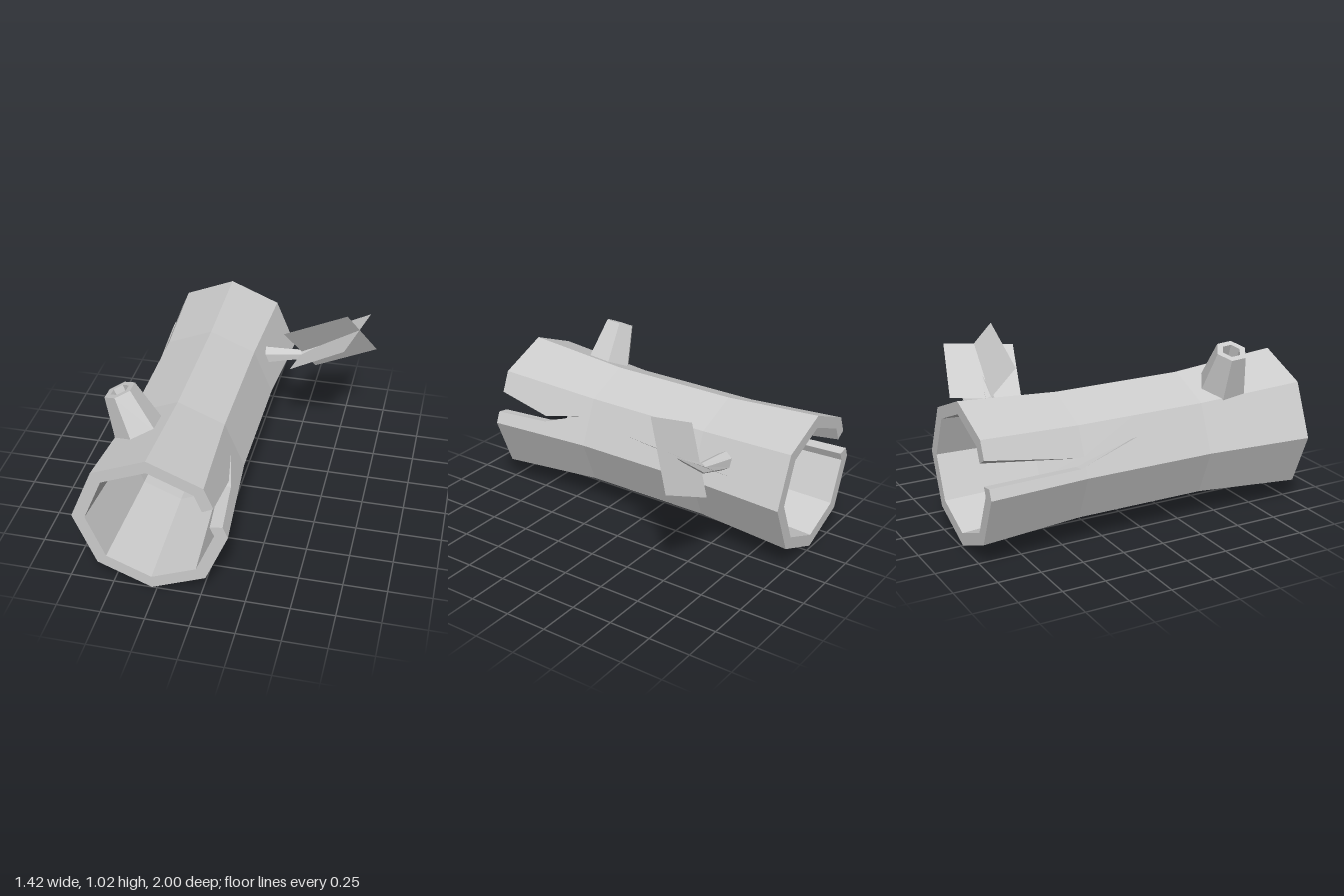
import * as THREE from 'three';

const CX = -0.28, CY = 0.44, SIDES = 8;
const material = new THREE.MeshStandardMaterial({ color: 0xcccccc, flatShading: true });
const leafMaterial = new THREE.MeshStandardMaterial({ color: 0xcccccc, flatShading: true, side: THREE.DoubleSide });

// Piecewise-linear lookup; rows are [z, value...] with falling z
function sample(rows, z, col) {
  if (z >= rows[0][0]) return rows[0][col];
  for (let i = 1; i < rows.length; i++) {
    const a = rows[i - 1], b = rows[i];
    if (z >= b[0]) return a[col] + (b[col] - a[col]) * (a[0] - z) / (a[0] - b[0]);
  }
  return rows[rows.length - 1][col];
}

function meshFromQuads(quads, name, mat = material) {
  const pos = [];
  for (const [a, b, c, d] of quads) for (const p of [a, b, c, a, c, d]) pos.push(...p);
  const g = new THREE.BufferGeometry();
  g.setAttribute('position', new THREE.Float32BufferAttribute(pos, 3));
  g.computeVertexNormals();
  const mesh = new THREE.Mesh(g, mat);
  mesh.name = name;
  return mesh;
}

// Log section: z, outer radius, inner radius
const PROFILE = [[1, 0.435, 0.36], [0.36, 0.38, 0.312], [-0.42, 0.38, 0.312], [-1, 0.418, 0.345]];
// Splits by side: z, first edge, second edge (fractions across the side)
const SPLITS = {
  0: [[1, 0.22, 0.6], [0.66, 0.27, 0.38], [0.43, 0.57, 0.57]],
  3: [[-0.08, 0.41, 0.41], [-0.45, 0.6, 0.8], [-1, 0.34, 0.8]],
};

function createLog() {
  const quads = [];
  for (let k = 0; k < SIDES; k++) {
    const split = SPLITS[k];
    const point = (t, z, col) => {
      const r = sample(PROFILE, z, col);
      const a = k * Math.PI * 2 / SIDES, b = (k + 1) * Math.PI * 2 / SIDES;
      return [CX + r * (Math.cos(a) * (1 - t) + Math.cos(b) * t), CY + r * (Math.sin(a) * (1 - t) + Math.sin(b) * t), z];
    };
    const strips = split
      ? [[() => 0, z => sample(split, z, 1)], [z => sample(split, z, 2), () => 1]]
      : [[() => 0, () => 1]];
    const zs = [...PROFILE, ...(split || [])].map(r => r[0]);
    const stations = [...new Set(zs)].sort((a, b) => b - a);

    for (const [lo, hi] of strips) {
      // Bark and hollow
      for (let i = 0; i + 1 < stations.length; i++) {
        const f = stations[i], b = stations[i + 1];
        const skin = col => [point(lo(f), f, col), point(lo(b), b, col), point(hi(b), b, col), point(hi(f), f, col)];
        quads.push(skin(1), skin(2).reverse());
      }
      // Rims
      const rim = z => [point(lo(z), z, 1), point(hi(z), z, 1), point(hi(z), z, 2), point(lo(z), z, 2)];
      quads.push(rim(1), rim(-1).reverse());
    }
    // Walls of the split
    if (split) for (let i = 0; i < 2; i++) {
      const f = split[i], b = split[i + 1];
      const wall = e => [point(f[e], f[0], 1), point(b[e], b[0], 1), point(b[e], b[0], 2), point(f[e], f[0], 2)];
      quads.push(wall(1), wall(2).reverse());
    }
  }
  return meshFromQuads(quads, 'hollowLog');
}

// Hollow six-sided branch stump
function createStump() {
  const profile = [[0.145, -0.03], [0.092, 0.235], [0.055, 0.235], [0.045, 0.08], [0, 0.08]]
    .map(p => new THREE.Vector2(...p));
  const stump = new THREE.Mesh(new THREE.LatheGeometry(profile, 6), material);
  stump.name = 'branchStump';
  stump.position.set(-0.455, 0.772, 0.565);
  stump.rotation.set(-0.06, 0, 0.41);
  return stump;
}

// Bent twig tapering to a point
function createTwig() {
  const rings = [
    { c: [0.02, 0.59, -0.597], r: 0.058, tilt: 0.15 },
    { c: [0.265, 0.635, -0.58], r: 0.032, tilt: 0.4 },
    { c: [0.47, 0.78, -0.56], r: 0.003, tilt: 0.65 },
  ];
  const at = ({ c, r, tilt }, i) => {
    const a = i * Math.PI / 3, up = r * Math.cos(a);
    return [c[0] - up * Math.sin(tilt), c[1] + up * Math.cos(tilt), c[2] + r * Math.sin(a)];
  };
  const quads = [];
  for (let i = 0; i < 6; i++) {
    for (let j = 0; j < 2; j++) {
      const a = rings[j], b = rings[j + 1];
      quads.push([at(a, i), at(a, i + 1), at(b, i + 1), at(b, i)]);
    }
    quads.push([at(rings[0], i + 1), at(rings[0], i), rings[0].c, rings[0].c]);
  }
  return meshFromQuads(quads, 'twig');
}

// Two crossed flat leaves
function createLeaves() {
  const leaves = new THREE.Group();
  leaves.name = 'leaves';
  leaves.add(
    meshFromQuads([[[0.315, 0.67, -0.81], [0.214, 0.63, -0.4], [0.553, 0.865, -0.295], [0.655, 0.9, -0.705]]], 'flatLeaf', leafMaterial),
    meshFromQuads([[[0.33, 0.51, -0.665], [0.71, 0.69, -0.65], [0.545, 1.02, -0.44], [0.165, 0.84, -0.455]]], 'uprightLeaf', leafMaterial),
  );
  return leaves;
}

export function createModel() {
  const model = new THREE.Group();
  model.name = 'hollowLogWithTwig';
  model.add(createLog(), createStump(), createTwig(), createLeaves());
  return model;
}
